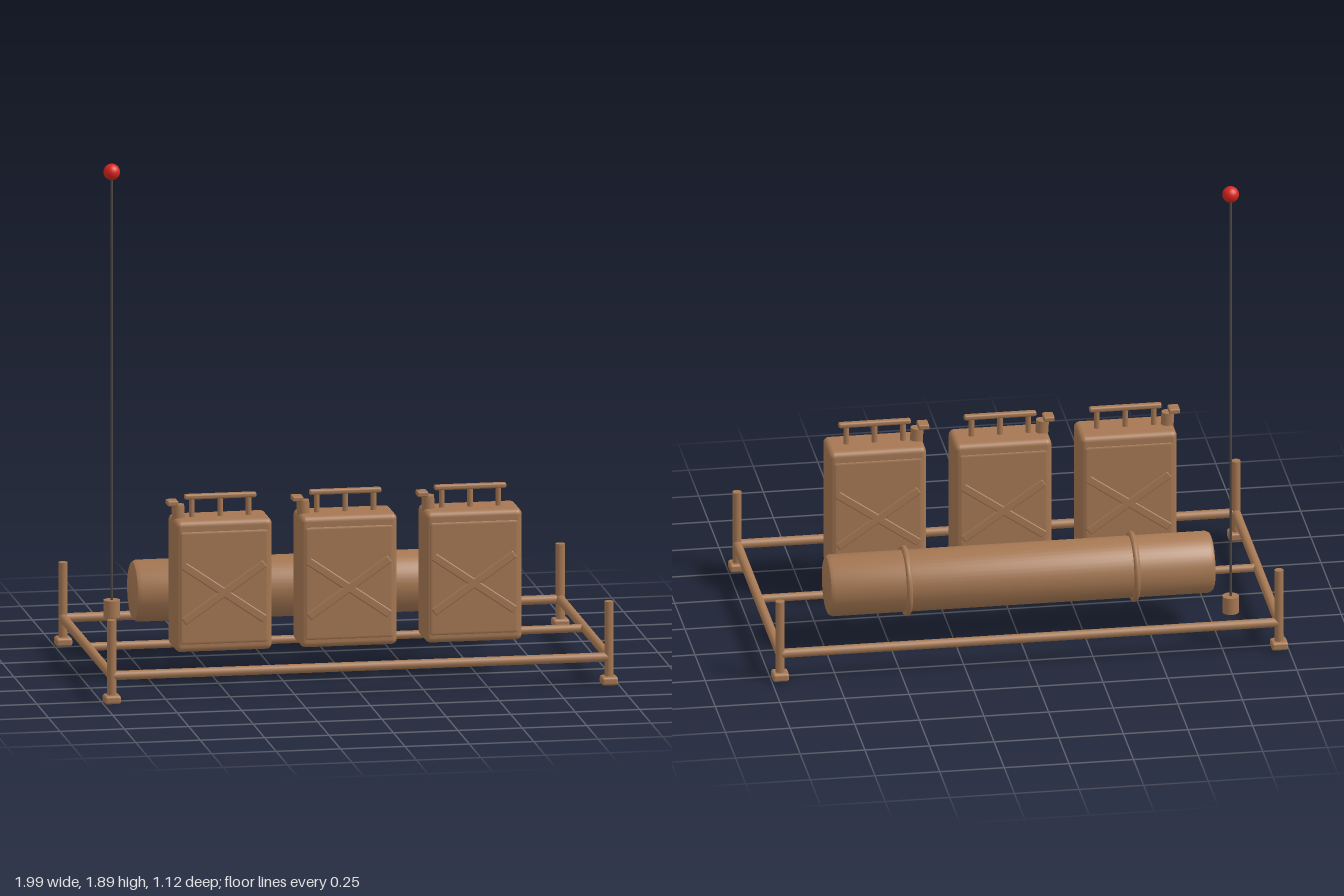
import * as THREE from 'three';
import { RoundedBoxGeometry } from 'three/addons/geometries/RoundedBoxGeometry.js';
import { toCreasedNormals } from 'three/addons/utils/BufferGeometryUtils.js';

const brown = new THREE.MeshStandardMaterial({ name: 'brown paint', color: 0xa67853 });
const dark = new THREE.MeshStandardMaterial({ name: 'dark metal', color: 0x4f4842 });
const red = new THREE.MeshStandardMaterial({ name: 'red', color: 0xd8241c });

function add(parent, name, geometry, x, y, z, material = brown) {
  const mesh = new THREE.Mesh(geometry, material);
  mesh.name = name;
  mesh.position.set(x, y, z);
  parent.add(mesh);
  return mesh;
}

const rod = (r, length) => new THREE.CylinderGeometry(r, r, length, 20);
const box = (w, h, d, r) => new RoundedBoxGeometry(w, h, d, 3, r);

// Rectangular tube frame with corner posts and feet
function makeFrame() {
  const g = new THREE.Group();
  g.name = 'frame';
  const X = 0.965, Z = 0.53, Y = 0.107;
  for (const z of [-Z, 0, Z]) {
    add(g, z ? 'longRail' : 'middleRail', rod(z ? 0.018 : 0.016, 2 * X), 0, Y, z).rotation.z = Math.PI / 2;
  }
  for (const x of [-X, X]) {
    add(g, 'sideRail', rod(0.018, 2 * Z), x, Y, 0).rotation.x = Math.PI / 2;
    for (const z of [-Z, Z]) {
      add(g, 'cornerPost', rod(0.018, 0.306), x, 0.172, z);
      add(g, 'foot', box(0.064, 0.033, 0.064, 0.01), x, 0.0165, z);
    }
  }
  return g;
}

// Long horizontal tank with bevelled ends and two straps
function makeTank() {
  const g = new THREE.Group();
  g.name = 'tank';
  const profile = [[0, -0.746], [0.1, -0.746], [0.112, -0.741], [0.119, -0.727],
    [0.119, 0.727], [0.112, 0.741], [0.1, 0.746], [0, 0.746]].map(([r, y]) => new THREE.Vector2(r, y));
  const shell = toCreasedNormals(new THREE.LatheGeometry(profile, 48), 0.7);
  add(g, 'tankShell', shell, 0, 0, 0).rotation.z = Math.PI / 2;
  for (const x of [-0.44, 0.44]) {
    add(g, 'strap', new THREE.TorusGeometry(0.125, 0.012, 10, 48), x, 0, 0).rotation.y = Math.PI / 2;
  }
  g.position.set(0, 0.261, -0.264);
  return g;
}

// Fuel can with raised panels, crossed ribs, handle and spout
function makeCan(x) {
  const g = new THREE.Group();
  g.name = 'fuelCan';
  add(g, 'canBody', box(0.376, 0.513, 0.178, 0.022), 0, 0.388, 0);
  add(g, 'raisedPanels', box(0.36, 0.46, 0.183, 0.02), 0, 0.383, 0);
  for (const side of [-1, 1]) {
    for (const dir of [-1, 1]) {
      add(g, 'crossRib', box(0.385, 0.034, 0.014, 0.006), 0, 0.362, side * 0.087).rotation.z = dir * 0.607;
    }
  }
  // Handle
  add(g, 'handleBar', box(0.28, 0.021, 0.026, 0.008), 0, 0.722, 0);
  for (const px of [-0.11, 0, 0.11]) add(g, 'handlePost', rod(0.011, 0.09), px, 0.674, 0);
  // Spout
  add(g, 'spoutNeck', rod(0.025, 0.06), -0.163, 0.663, 0).rotation.z = 0.06;
  add(g, 'spoutCap', box(0.042, 0.02, 0.056, 0.005), -0.187, 0.702, 0);
  g.position.set(x, 0, 0.198);
  return g;
}

// Whip antenna with ball tip
function makeAntenna() {
  const g = new THREE.Group();
  g.name = 'antenna';
  add(g, 'antennaBase', rod(0.032, 0.067), 0, 0.157, 0);
  add(g, 'antennaMast', new THREE.CylinderGeometry(0.005, 0.005, 1.67, 12), 0, 1.015, 0, dark);
  add(g, 'antennaTip', new THREE.SphereGeometry(0.032, 24, 16), 0, 1.863, 0, red);
  g.position.set(-0.792, 0, -0.44);
  return g;
}

export function createModel() {
  const model = new THREE.Group();
  model.name = 'roofRack';
  model.add(makeFrame(), makeTank(), makeAntenna());
  for (const x of [-0.485, 0, 0.485]) model.add(makeCan(x));
  return model;
}
